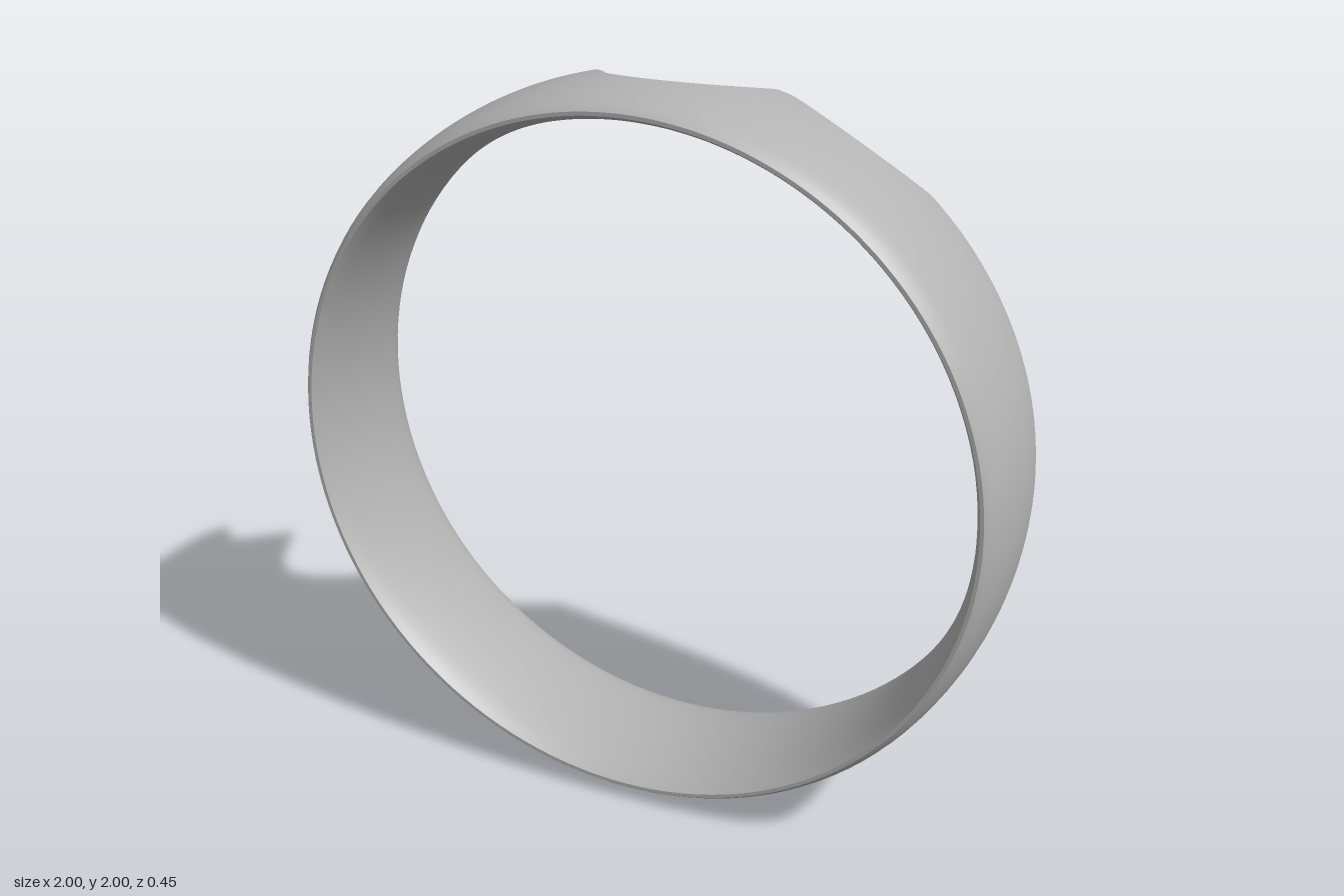
import * as THREE from 'three';
import { toCreasedNormals } from 'three/addons/utils/BufferGeometryUtils.js';

const HALF = 0.225;      // half width of the band
const CUSP = 14.75;      // degrees from the top where the scallops meet
const END = 44.2;        // degrees from the top where the outer scallops end
const ACROSS = 16;       // steps across the band

// Band section: domed outside, domed inside, softened rims
const outer = (z) => { const a = z / HALF; return 1 - 0.03 * a ** 2 - 0.013 * a ** 12; };
const inner = (z) => { const a = z / HALF; return 0.91 + 0.028 * a ** 2 + 0.009 * a ** 12; };

// Stations round the ring: angle in degrees and the z of the back rim there
function stations() {
  const list = [];
  const scallop = (from, to, depthAt) => {
    const mid = (from + to) / 2, half = (to - from) / 2, n = 32;
    for (let i = 0; i < n; i++) {
      const u = -Math.cos((Math.PI * i) / n);
      list.push({ angle: mid + half * u, back: -HALF + depthAt(u) });
    }
  };
  const deep = (u) => 0.265 * Math.sqrt(Math.max(0, 1 - u * u));
  const chord = 0.245, sag = 0.12, r = (chord ** 2 + sag ** 2) / (2 * sag);
  const shallow = (u) => Math.sqrt(r * r - (chord * u) ** 2) - (r - sag);
  scallop(-END, -CUSP, shallow);
  scallop(-CUSP, CUSP, deep);
  scallop(CUSP, END, shallow);
  // Plain part of the band
  const steps = 100;
  for (let i = 0; i < steps; i++) {
    list.push({ angle: END + ((360 - 2 * END) * i) / steps, back: -HALF });
  }
  return list;
}

function bandGeometry() {
  const rings = stations(), size = 2 * (ACROSS + 1);
  const positions = [], index = [];
  for (const { angle, back } of rings) {
    const t = THREE.MathUtils.degToRad(angle);
    const put = (radius, z) => positions.push(radius * Math.sin(t), 1 + radius * Math.cos(t), z);
    const zAt = (k) => back + ((HALF - back) * (1 - Math.cos((Math.PI * k) / ACROSS))) / 2;
    for (let k = 0; k <= ACROSS; k++) put(outer(zAt(k)), zAt(k));
    for (let k = ACROSS; k >= 0; k--) put(inner(zAt(k)), zAt(k));
  }
  // Join each closed section to the next
  for (let i = 0; i < rings.length; i++) {
    const j = (i + 1) % rings.length;
    for (let k = 0; k < size; k++) {
      const m = (k + 1) % size;
      const a = i * size + k, b = i * size + m, c = j * size + k, d = j * size + m;
      index.push(a, b, c, b, d, c);
    }
  }
  const geometry = new THREE.BufferGeometry();
  geometry.setAttribute('position', new THREE.Float32BufferAttribute(positions, 3));
  geometry.setIndex(index);
  return toCreasedNormals(geometry, 0.6);
}

export function createModel() {
  const metal = new THREE.MeshStandardMaterial({ color: 0xb3b3b3 });
  metal.name = 'grey metal';
  const band = new THREE.Mesh(bandGeometry(), metal);
  band.name = 'scallopedBand';
  const model = new THREE.Group();
  model.name = 'ring';
  model.add(band);
  return model;
}
